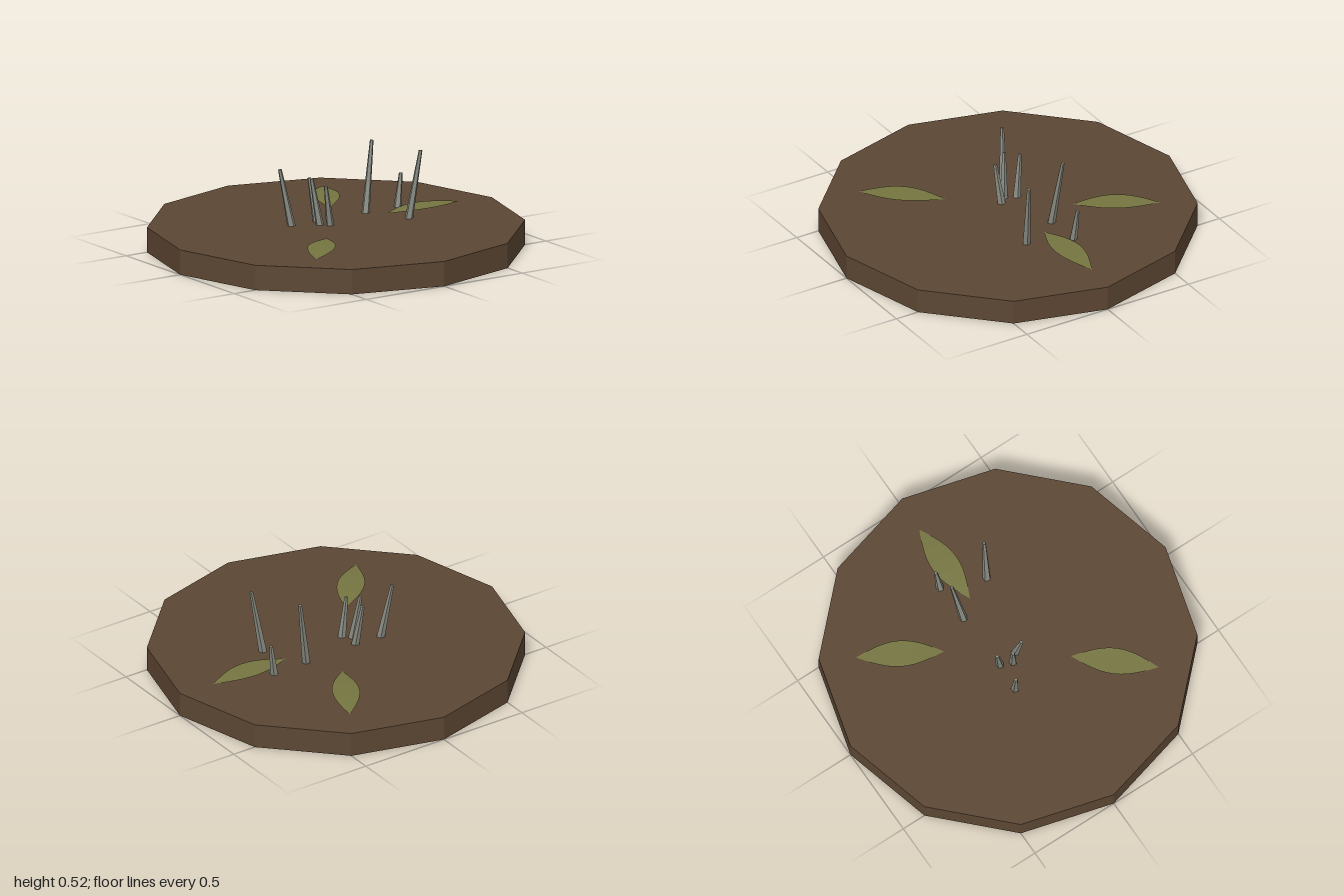
import * as THREE from 'three';

const GROUND_Y = 0.135;

function material(name, color, options = {}) {
  const m = new THREE.MeshStandardMaterial({ color, ...options });
  m.name = name;
  return m;
}

// Tapered shard running from a base point on the ground to a tip point
function makeSpike(mat, [bx, bz, tx, ty, tz]) {
  const base = new THREE.Vector3(bx, GROUND_Y - 0.01, bz);
  const axis = new THREE.Vector3(tx, ty, tz).sub(base);
  const length = axis.length();
  const geometry = new THREE.CylinderGeometry(0.01, 0.023, length, 5);
  geometry.translate(0, length / 2, 0);
  const spike = new THREE.Mesh(geometry, mat);
  spike.position.copy(base);
  spike.quaternion.setFromUnitVectors(new THREE.Vector3(0, 1, 0), axis.normalize());
  return spike;
}

// Pointed leaf, slightly arched along its length, lying between two points
function makeLeaf(mat, [x0, z0, x1, z1]) {
  const length = Math.hypot(x1 - x0, z1 - z0);
  const geometry = new THREE.PlaneGeometry(1, 1, 12, 2).rotateX(-Math.PI / 2);
  const p = geometry.attributes.position;
  for (let i = 0; i < p.count; i++) {
    const bulge = Math.sin(Math.PI * (p.getX(i) + 0.5));
    p.setXYZ(i, p.getX(i) * length, 0.012 * bulge, p.getZ(i) * 0.146 * bulge);
  }
  geometry.computeVertexNormals();
  const leaf = new THREE.Mesh(geometry, mat);
  leaf.position.set((x0 + x1) / 2, GROUND_Y + 0.003, (z0 + z1) / 2);
  leaf.rotation.y = -Math.atan2(z1 - z0, x1 - x0);
  return leaf;
}

export function createModel() {
  const model = new THREE.Group();
  const soil = material('soil brown', 0x5c4633, { flatShading: true });
  const stone = material('stone grey', 0x85887f, { flatShading: true });
  const leafGreen = material('leaf green', 0x757541, { side: THREE.DoubleSide });

  // Twelve-sided ground slab
  const ground = new THREE.Mesh(new THREE.CylinderGeometry(1, 1, GROUND_Y, 12), soil);
  ground.name = 'groundSlab';
  ground.position.y = GROUND_Y / 2;
  model.add(ground);

  // Two clusters of leaning spikes: base x, base z, tip x, tip y, tip z
  const clusters = {
    rightSpikes: [
      [-0.215, -0.1, -0.27, 0.44, -0.13],
      [-0.06, -0.09, -0.085, 0.37, -0.125],
      [-0.085, -0.025, -0.122, 0.385, -0.05],
      [-0.045, 0.012, -0.085, 0.355, 0.028],
    ],
    leftSpikes: [
      [0.262, -0.105, 0.325, 0.515, -0.138],
      [0.472, -0.112, 0.5, 0.315, -0.122],
      [0.382, 0.122, 0.442, 0.5, 0.145],
    ],
  };
  for (const [name, spikes] of Object.entries(clusters)) {
    const group = new THREE.Group();
    group.name = name;
    spikes.forEach((s, i) => {
      const spike = makeSpike(stone, s);
      spike.name = `spike${i + 1}`;
      group.add(spike);
    });
    model.add(group);
  }

  // Fallen leaves: inner x, z to outer x, z
  [
    [0.335, -0.017, 0.805, -0.023],
    [0.165, -0.295, 0.395, -0.7],
    [-0.23, 0.245, -0.54, 0.595],
  ].forEach((l, i) => {
    const leaf = makeLeaf(leafGreen, l);
    leaf.name = `fallenLeaf${i + 1}`;
    model.add(leaf);
  });

  return model;
}
